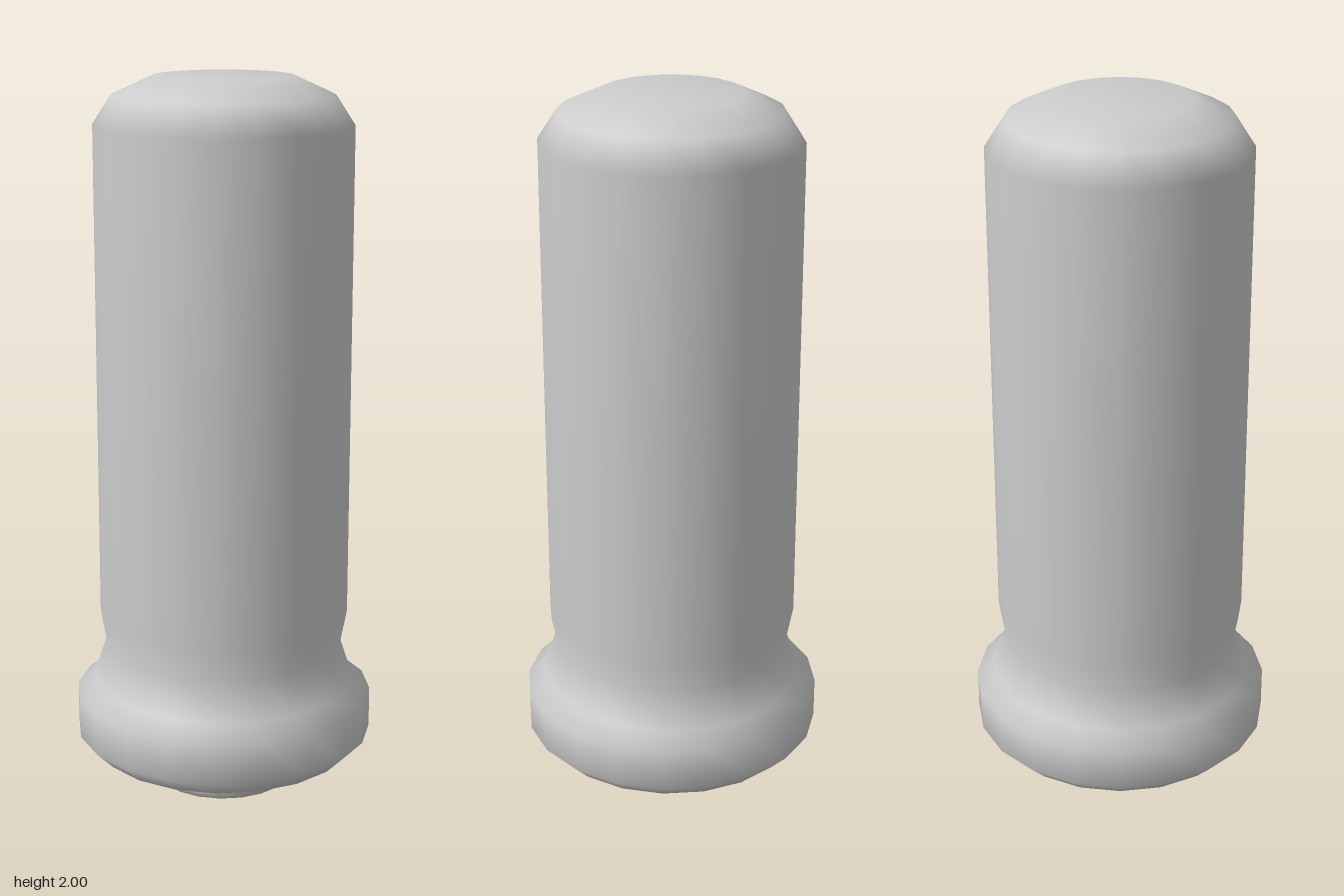
import * as THREE from 'three';

const SIDES = 20;
const material = new THREE.MeshStandardMaterial({ color: 0xcccccc });

// Revolves a bottom-to-top [radius, height] profile around y
function turned(name, profile) {
  const points = profile.map(([r, y]) => new THREE.Vector2(r, y));
  const mesh = new THREE.Mesh(new THREE.LatheGeometry(points, SIDES), material);
  mesh.name = name;
  return mesh;
}

export function createModel() {
  const group = new THREE.Group();
  group.name = 'roundedCylinder';

  // Neck, collar, waist, long barrel and domed cap in one smooth skin
  group.add(turned('body', [
    [0.165, 0.07], [0.165, 0.015], [0.175, 0], [0.195, 0], [0.2, 0.015],
    [0.21, 0.055], [0.23, 0.085], [0.26, 0.1],
    [0.37, 0.1], [0.42, 0.15], [0.42, 0.265], [0.37, 0.305],
    [0.335, 0.41], [0.352, 0.5],
    [0.352, 1.87], [0.3, 1.95], [0.19, 2], [0, 2],
  ]));

  // Floor of the shallow socket under the neck
  group.add(turned('socketFloor', [[0, 0.07], [0.165, 0.07]]));

  return group;
}
